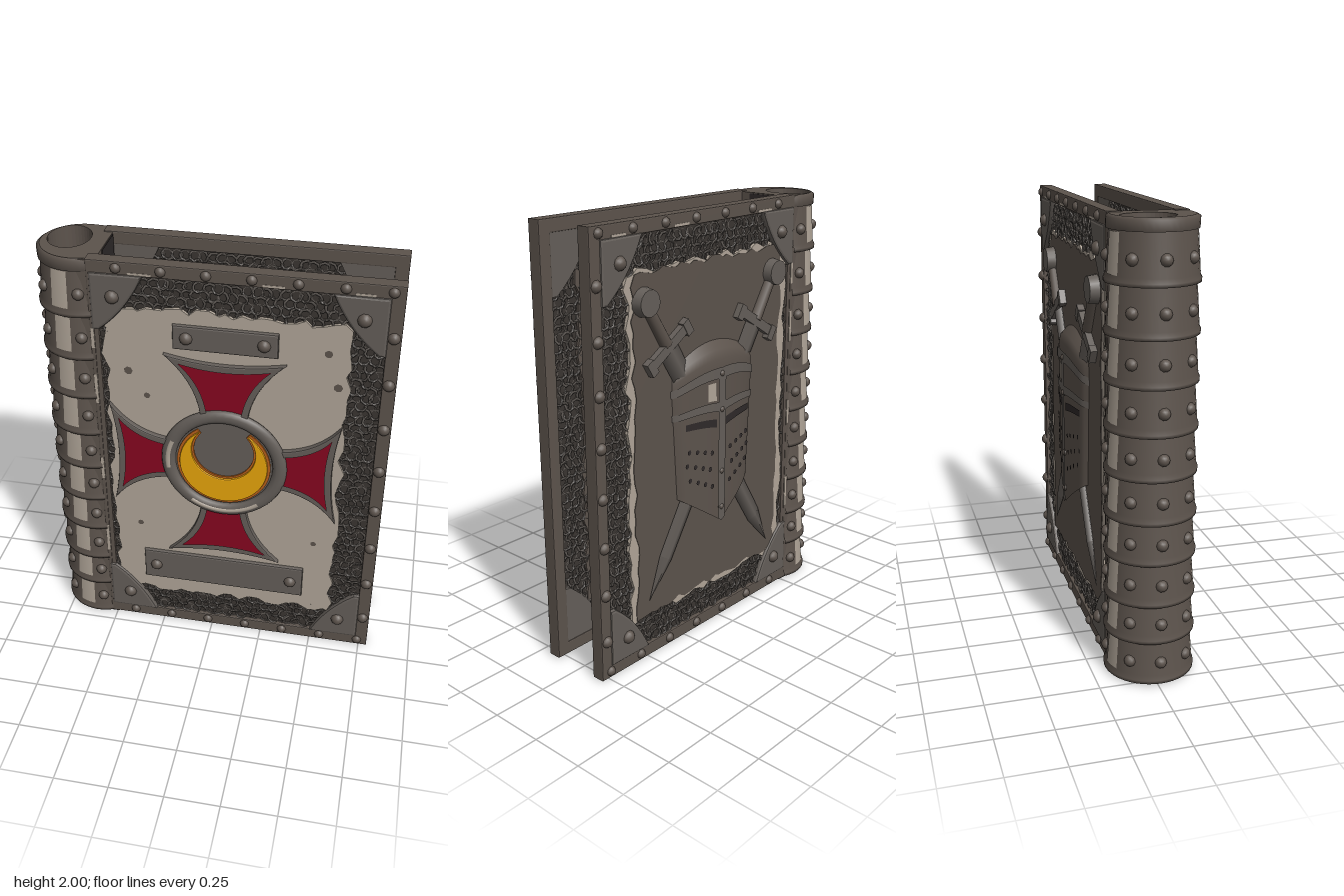
import * as THREE from 'three';
import { mergeGeometries } from 'three/addons/utils/BufferGeometryUtils.js';

const mat = (name, color, side = THREE.FrontSide) => {
  const m = new THREE.MeshStandardMaterial({ color, side });
  m.name = name;
  return m;
};

export function createModel() {
  const iron = mat('brown iron', 0x5c534c), plate = mat('grey plate', 0x645e59);
  const shadow = mat('dark hollow', 0x2f2a2a, THREE.DoubleSide), mailBase = mat('mail backing', 0x3a3531);
  const parchment = mat('parchment', 0xb0a598), red = mat('red enamel', 0x86061f);
  const gold = mat('gold', 0xefab0c), orange = mat('burnt orange', 0xb8601a);

  const book = new THREE.Group();
  book.name = 'book';
  let seed = 7;
  const rnd = () => (seed = (seed * 16807) % 2147483647) / 2147483647;

  const add = (parent, name, geo, m, x = 0, y = 0, z = 0) => {
    const mesh = new THREE.Mesh(geo, m);
    mesh.name = name;
    mesh.position.set(x, y, z);
    parent.add(mesh);
    return mesh;
  };
  const slab = (shape, depth, bevel = 0) => new THREE.ExtrudeGeometry(shape, { depth: depth - 2 * bevel, bevelEnabled: bevel > 0,
    bevelThickness: bevel, bevelSize: bevel, bevelOffset: -bevel, bevelSegments: 2, curveSegments: 20 }).translate(0, 0, bevel);
  const rivetGeo = r => new THREE.SphereGeometry(r, 10, 5, 0, Math.PI * 2, 0, Math.PI / 2).rotateX(Math.PI / 2);
  const rivet = (p, x, y, z, r = 0.03) => add(p, 'rivet', rivetGeo(r), iron, x, y, z);
  const rect = (x0, x1, y0, y1, C = THREE.Shape) => new C([[x0, y0], [x1, y0], [x1, y1], [x0, y1]].map(p => new THREE.Vector2(...p)));

  // Torn sheet with an uneven outline
  const tornSheet = (x0, x1, y0, y1, rough) => {
    const pts = [], n = 26;
    const c = [[x0, y0], [x1, y0], [x1, y1], [x0, y1]];
    c.forEach((a, i) => {
      const b = c[(i + 1) % 4];
      for (let k = 0; k < n; k++) {
        const t = k / n;
        pts.push(new THREE.Vector2(a[0] + (b[0] - a[0]) * t + (rnd() - 0.5) * rough, a[1] + (b[1] - a[1]) * t + (rnd() - 0.5) * rough));
      }
    });
    return new THREE.Shape(pts);
  };

  // Chain mail: rows of tilted rings around a central sheet
  const mail = (x0, x1, y0, y1, hole, z) => {
    const rings = [];
    for (let j = 0, y = y0; y <= y1; y += 0.038, j++)
      for (let x = x0 + (j % 2) * 0.02; x <= x1; x += 0.04) {
        if (x > hole[0] && x < hole[1] && y > hole[2] && y < hole[3]) continue;
        rings.push(new THREE.TorusGeometry(0.023, 0.0065, 3, 7).rotateY(0.35 * (j % 2 ? 1 : -1)).rotateZ(rnd() * 6)
          .translate(x + (rnd() - 0.5) * 0.012, y, z));
      }
    return mergeGeometries(rings);
  };

  // One cover board: local z = 0 is the inner face, s gives the spine side (-x for s = 1)
  const cover = (name, s) => {
    const g = new THREE.Group();
    g.name = name;
    const span = (a, b) => [Math.min(a * s, b * s), Math.max(a * s, b * s)];
    const [hx0, hx1] = span(-0.64, 0.6);
    const frame = rect(-0.66, 0.66, 0.005, 2);
    frame.holes.push(rect(hx0, hx1, 0.065, 1.94, THREE.Path));
    add(g, 'frame', slab(frame, 0.064, 0.005), iron);
    add(g, 'mailBacking', new THREE.BoxGeometry(hx1 - hx0 + 0.01, 1.88, 0.022), mailBase, (hx0 + hx1) / 2, 1.0025, 0.031);
    const [px0, px1] = span(-0.6, 0.46);
    const hole = [px0 + 0.03, px1 - 0.03, 0.24, 1.76];
    add(g, 'chainMail', mail(hx0 + 0.02, hx1 - 0.015, 0.085, 1.925, hole, 0.045), plate);
    add(g, 'innerChainMail', mail(hx0 + 0.02, hx1 - 0.015, 0.085, 1.925, hole, 0.017), plate);
    add(g, 'tornSheet', slab(tornSheet(px0, px1, 0.205, 1.79, 0.035), 0.017), parchment, 0, 0, 0.04);
    add(g, 'innerSheet', slab(tornSheet(px0, px1, 0.21, 1.78, 0.03), 0.015), iron, 0, 0, 0.008);
    // Corner guards outside and inside
    for (const [cx, dx] of [[-0.65, 1], [0.605, -1]])
      for (const [cy, dy] of [[0.06, 1], [1.945, -1]]) {
        const c = new THREE.Shape();
        c.moveTo(cx * s, cy);
        c.lineTo((cx + dx * 0.235) * s, cy);
        c.quadraticCurveTo((cx + dx * 0.16) * s, cy + dy * 0.17, (cx + dx * 0.03) * s, cy + dy * 0.27);
        c.lineTo(cx * s, cy + dy * 0.27);
        add(g, 'cornerGuard', slab(c, 0.036, 0.012), plate, 0, 0, 0.036);
        add(g, 'innerCornerGuard', slab(c, 0.02), plate, 0, 0, 0.004);
        rivet(g, (cx + dx * 0.1) * s, cy + dy * 0.105, 0.066, 0.032);
      }
    // Frame rivets
    for (let i = 0; i < 8; i++) rivet(g, 0.628 * s, 0.19 + i * 0.225, 0.058, 0.028);
    for (let i = 0; i < 7; i++)
      for (const y of [0.036, 1.97]) rivet(g, (-0.53 + i * 0.19) * s, y, 0.058, 0.024);
    // Worn bright patches along the rails
    for (const [y, h] of [[0.5, 0.16], [0.93, 0.12], [1.37, 0.15], [1.63, 0.1]])
      add(g, 'wornEdge', new THREE.BoxGeometry(0.014, h, 0.004), parchment, -0.649 * s, y, 0.0635);
    for (const [x, w] of [[-0.43, 0.1], [0.13, 0.09], [0.5, 0.08]])
      add(g, 'wornEdge', new THREE.BoxGeometry(w, 0.01, 0.004), parchment, x * s, 1.95, 0.0635);
    book.add(g);
    return g;
  };

  const front = cover('frontCover', 1);
  front.position.set(0.13, 0, 0.127);
  const back = cover('backCover', -1);
  back.position.set(0.13, 0, -0.098);
  back.rotation.y = Math.PI;

  // Pits in the parchment
  for (const [x, y, r] of [[0.37, 1.66, 0.018], [0.42, 1.5, 0.02], [-0.5, 1.48, 0.02], [-0.42, 1.36, 0.015], [-0.48, 0.62, 0.015], [0.36, 0.62, 0.014]])
    add(front, 'pit', new THREE.CircleGeometry(r, 7), iron, x, y, 0.0585);

  // Blank plates with rivets
  for (const [x0, x1, y0, y1] of [[-0.295, 0.16, 1.62, 1.735], [-0.465, 0.32, 0.29, 0.46]]) {
    add(front, 'blankPlate', slab(rect(x0, x1, y0, y1), 0.026, 0.008), plate, 0, 0, 0.05);
    for (const x of [x0 + 0.06, x1 - 0.06]) rivet(front, x, (y0 + y1) / 2, 0.07, 0.03);
  }

  // Flared cross arms: raised rim with an enamel inlay
  const emblem = new THREE.Group();
  emblem.name = 'crossEmblem';
  emblem.position.set(-0.07, 1.04, 0.046);
  front.add(emblem);
  const armShape = (a, b, top, C) => {
    const p = new C();
    p.moveTo(-a, 0.24);
    p.quadraticCurveTo(-a - 0.015, 0.42, -b, top);
    p.quadraticCurveTo(0, top - 0.06, b, top);
    p.quadraticCurveTo(a + 0.015, 0.42, a, 0.24);
    p.closePath();
    return p;
  };
  for (let i = 0; i < 4; i++) {
    const arm = new THREE.Group();
    arm.name = 'crossArm';
    arm.rotation.z = i * Math.PI / 2;
    const top = i % 2 ? 0.522 : 0.55;
    const rim = armShape(0.105, 0.268, top, THREE.Shape);
    rim.holes.push(armShape(0.08, 0.225, top - 0.026, THREE.Path));
    add(arm, 'armRim', slab(rim, 0.034, 0.006), plate);
    add(arm, 'armInlay', slab(armShape(0.085, 0.232, top - 0.02, THREE.Shape), 0.022), red);
    emblem.add(arm);
  }
  // Central ring and crescent
  const ringGeo = (tube, arc) => new THREE.TorusGeometry(0.257, tube, 10, 48, arc).scale(1, 1, 0.65);
  add(emblem, 'ring', ringGeo(0.033, Math.PI * 2), plate, 0, 0, 0.025);
  for (const [start, arc] of [[4.1, 1.3], [2.7, 0.6]]) add(emblem, 'wornRingEdge', ringGeo(0.012, arc), parchment, 0, 0, 0.041).rotation.z = start;
  add(emblem, 'disc', new THREE.CylinderGeometry(0.25, 0.25, 0.03, 40).rotateX(Math.PI / 2), plate, 0, 0, 0.01);
  const crescent = (R, r) => {
    const p = new THREE.Shape();
    p.absarc(0, 0, R, 0.988, Math.PI - 0.988, true);
    p.absarc(0, 0.07, r, Math.PI - 0.723, Math.PI * 2 + 0.723, false);
    return p;
  };
  add(emblem, 'crescentEdge', slab(crescent(0.216, 0.137), 0.008), orange, 0, 0, 0.024);
  add(emblem, 'crescent', slab(crescent(0.203, 0.147), 0.016, 0.005), gold, 0, 0, 0.026);

  // Back panel: plain cloth over the torn sheet
  add(back, 'backCloth', slab(tornSheet(-0.425, 0.56, 0.22, 1.78, 0.03), 0.008), iron, 0, 0, 0.052);

  // Crossed swords
  for (const k of [-1, 1]) {
    const sword = new THREE.Group();
    sword.name = 'sword';
    sword.position.set(0.065 + k * 0.43, 1.66, 0.066);
    sword.rotation.z = -k * 0.557;
    add(sword, 'pommel', new THREE.CylinderGeometry(0.058, 0.065, 0.05, 14).rotateX(Math.PI / 2), plate, 0, 0, 0.012);
    add(sword, 'grip', new THREE.CylinderGeometry(0.027, 0.03, 0.22, 10), iron, 0, -0.13, 0);
    add(sword, 'guard', new THREE.BoxGeometry(0.27, 0.045, 0.045), plate, 0, -0.25, 0);
    for (const e of [-1, 1]) add(sword, 'guardEnd', new THREE.BoxGeometry(0.04, 0.07, 0.05), plate, e * 0.13, -0.255, 0);
    add(sword, 'blade', new THREE.CylinderGeometry(0.058, 0.045, 1.15, 4).scale(1, 1, 0.4), plate, 0, -0.84, 0);
    add(sword, 'bladeTip', new THREE.ConeGeometry(0.045, 0.21, 4).rotateX(Math.PI).scale(1, 1, 0.4), plate, 0, -1.52, 0);
    back.add(sword);
  }

  // Great helm: patches of one curved surface, u across and v upwards
  const helm = new THREE.Group();
  helm.name = 'greatHelm';
  helm.position.set(0.075, 0, 0.052);
  back.add(helm);
  const helmPoint = (u, v) => {
    const y0 = 0.55 + 0.17 * Math.abs(u), y1 = 1.42 - 0.1 * u * u;
    const dome = v > 0.86 ? Math.sqrt(Math.max(0, 1 - ((v - 0.86) / 0.14) ** 2)) : 1;
    return [u * (0.25 + 0.03 * Math.min(1, v / 0.8)), y0 + (y1 - y0) * v, 0.06 * Math.sqrt(Math.max(0, 1 - u * u)) * dome];
  };
  const patch = (name, u0, u1, v0, v1, lift, m) => {
    const geo = new THREE.PlaneGeometry(u1 - u0, v1 - v0, 24, 20).translate((u0 + u1) / 2, (v0 + v1) / 2, 0);
    const p = geo.attributes.position;
    for (let i = 0; i < p.count; i++) {
      const [x, y, z] = helmPoint(p.getX(i), p.getY(i));
      p.setXYZ(i, x, y, z + lift);
    }
    geo.computeVertexNormals();
    add(helm, name, geo, m);
  };
  patch('helmShell', -1, 1, 0, 1, 0, iron);
  patch('helmNoseBand', -0.09, 0.09, 0, 0.82, 0.008, plate);
  patch('helmBrowBand', -1, 1, 0.62, 0.67, 0.007, plate);
  patch('helmTopBand', -1, 1, 0.8, 0.86, 0.007, plate);
  patch('wornPatch', -0.32, -0.12, 0.68, 0.78, 0.004, parchment);
  for (const k of [-1, 1]) {
    const mid = k * 0.46;
    patch('eyeSlit', mid - 0.34, mid + 0.34, 0.53, 0.575, 0.004, shadow);
    for (let j = 0; j < 3; j++)
      for (let i = 0; i < 4; i++) {
        const [x, y, z] = helmPoint(k * (0.24 + i * 0.17 + (j % 2) * 0.05), 0.18 + j * 0.1);
        add(helm, 'breathHole', new THREE.CircleGeometry(0.012, 8), shadow, x, y, z + 0.005);
      }
  }
  for (const v of [0.62, 0.8, 1.1, 1.27]) rivet(helm, 0, v, 0.06, 0.016);

  // Spine core with a hollow at the top
  const spine = new THREE.Group();
  spine.name = 'spine';
  book.add(spine);
  const cx = -0.6, cz = 0.012;
  const coreShape = () => {
    const p = new THREE.Shape();
    p.moveTo(-0.49, 0.158);
    p.lineTo(cx, 0.165);
    p.absarc(cx, -cz, 0.177, Math.PI / 2, Math.PI * 1.5, false);
    p.lineTo(-0.49, -0.187);
    p.closePath();
    return p;
  };
  add(spine, 'core', slab(coreShape(), 1.8).rotateX(-Math.PI / 2), iron, 0, 0.005, 0);
  add(spine, 'bottomCap', slab(coreShape(), 0.005).rotateX(-Math.PI / 2), shadow);
  const collar = coreShape();
  collar.holes.push(new THREE.Path().absellipse(-0.66, 0.025, 0.095, 0.115, 0, Math.PI * 2, true));
  add(spine, 'collar', slab(collar, 0.19).rotateX(-Math.PI / 2), iron, 0, 1.805, 0);
  add(spine, 'hollowFloor', new THREE.CircleGeometry(1, 24).rotateX(-Math.PI / 2).scale(0.095, 1, 0.115), shadow, -0.66, 1.81, -0.025);
  add(spine, 'innerRecess', slab(rect(-0.075, 0.09, 1.8, 1.99), 0.006).rotateY(Math.PI / 2), shadow, -0.492, 0, 0);

  // Overlapping spine bands, worn streaks, rivets and inner ribs
  const t0 = -Math.PI - 0.41, tl = Math.PI + 0.82;
  const lathe = (pts, start, len, n) => new THREE.LatheGeometry(pts.map(p => new THREE.Vector2(...p)), n, start, len);
  const seams = [0.01, 0.2, 0.37, 0.56, 0.74, 0.93, 1.12, 1.32, 1.52, 1.73, 1.94];
  for (let i = 0; i < 10; i++) {
    const y = seams[i], h = seams[i + 1] - y;
    const band = new THREE.Group();
    band.name = 'spineBand';
    band.position.set(cx, y, cz);
    spine.add(band);
    add(band, 'bandShell', lathe([[0.175, 0], [0.199, 0], [0.2, 0.015], [0.191, 0.035], [0.179, h], [0.174, h + 0.005]], t0, tl, 28), iron);
    for (const start of [-0.5, -Math.PI + 0.06])
      add(band, 'wornStreak', lathe([[0.193, 0.037], [0.182, h - 0.004]], start, 0.42, 8), parchment);
    for (const t of [0.17, -0.83, -Math.PI / 2, -Math.PI + 0.83, -Math.PI - 0.17]) {
      const r = rivet(band, Math.sin(t) * 0.182, h / 2, Math.cos(t) * 0.182, 0.027);
      r.rotation.y = t;
    }
    if (i > 0) add(spine, 'innerRib', new THREE.BoxGeometry(0.02, 0.018, 0.21), plate, -0.488, y, 0.015);
  }
  add(spine, 'topRim', lathe([[0.175, 0], [0.188, 0], [0.19, 0.045], [0.175, 0.055]], t0, tl, 28), iron, cx, 1.942, cz);
  return book;
}
